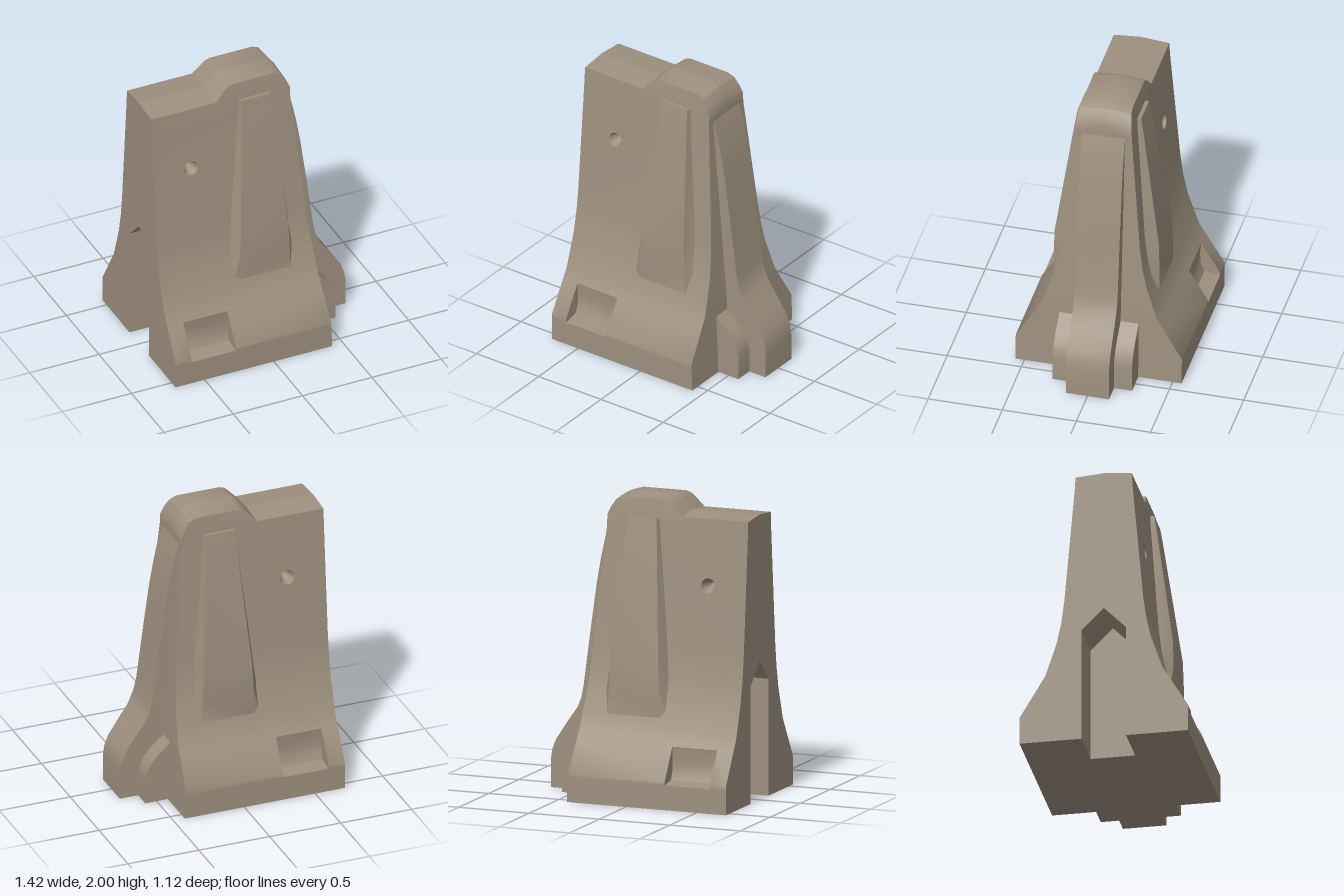
import * as THREE from 'three';
import { mergeGeometries, toCreasedNormals } from 'three/addons/utils/BufferGeometryUtils.js';

const concrete = new THREE.MeshStandardMaterial({ color: 0x9e907f, side: THREE.DoubleSide });
concrete.name = 'concrete';

// Levels of the wall: height, half thickness, x of the right-hand end
const LEVELS = [
  [0, 0.56, 0.42], [0.165, 0.56, 0.413], [0.186, 0.56, 0.412], [0.4, 0.432, 0.403],
  [0.47, 0.39, 0.4], [0.57, 0.356, 0.393], [0.7, 0.313, 0.382], [0.84, 0.283, 0.37],
  [1, 0.262, 0.357], [1.79, 0.193, 0.29], [1.885, 0.187, 0.29], [1.985, 0.17, 0.29],
];
const END = -0.71;
const RISE = 0.016;
const POCKET = [-0.595, -0.275];
const HOLE = { x: -0.44, y: 1.445, r: 0.05 };
// Upper outline of the wall, from the right-hand end to the left
const CREST = [
  [0.29, 1.79], [0.29, 1.86], [0.265, 1.915], [0.232, 1.963], [0.185, 1.985],
  [-0.12, 1.985], [-0.155, 1.972], [-0.18, 1.95], [-0.24, 1.885], [END, 1.885],
];

// Half thickness of the wall at height y
function half(y) {
  for (let i = 1; i < LEVELS.length; i++) {
    const [y0, z0] = LEVELS[i - 1], [y1, z1] = LEVELS[i];
    if (y <= y1) return z0 + (z1 - z0) * (y - y0) / (y1 - y0);
  }
  return LEVELS[LEVELS.length - 1][1];
}

// Flat polygon with optional hole, mapped into space
function poly(points, map, hole) {
  const shape = new THREE.Shape(points.map(p => new THREE.Vector2(...p)));
  if (hole) shape.holes.push(new THREE.Path(hole.map(p => new THREE.Vector2(...p))));
  const geo = new THREE.ShapeGeometry(shape).toNonIndexed();
  const pos = geo.attributes.position;
  for (let i = 0; i < pos.count; i++) pos.setXYZ(i, ...map(pos.getX(i), pos.getY(i)));
  return strip(geo);
}

// Keep positions only
function strip(geo) {
  const out = new THREE.BufferGeometry();
  out.setAttribute('position', geo.attributes.position);
  return out;
}

function quad(a, b, c, d) {
  const geo = new THREE.BufferGeometry();
  geo.setAttribute('position', new THREE.Float32BufferAttribute([a, b, c, a, c, d].flat(), 3));
  return geo;
}

// Mirror across z = 0, turning the faces back outwards
function mirrored(geo) {
  const out = geo.clone(), p = geo.attributes.position, q = out.attributes.position;
  for (let i = 0; i < p.count; i += 3)
    [0, 2, 1].forEach((k, j) => q.setXYZ(i + j, p.getX(i + k), p.getY(i + k), -p.getZ(i + k)));
  return out;
}

function addBoth(group, name, parts, crease = 0.6) {
  const geo = mergeGeometries(parts);
  [['Front', geo], ['Back', mirrored(geo)]].forEach(([side, g]) => {
    const mesh = new THREE.Mesh(toCreasedNormals(g, crease), concrete);
    mesh.name = name + side;
    group.add(mesh);
  });
}

export function createModel() {
  const group = new THREE.Group();
  group.name = 'concreteBarrier';
  const onWall = (x, y) => [x, y, half(y)];

  // Sloping faces, with a gap for the pocket and a round hole
  const ring = Array.from({ length: 25 }, (_, i) => {
    const a = i / 24 * Math.PI * 2;
    return [HOLE.x + HOLE.r * Math.cos(a), HOLE.y + HOLE.r * Math.sin(a)];
  });
  const faces = [], ends = [];
  for (let i = 0; LEVELS[i][0] < 1.79; i++) {
    const [y0, z0, x0] = LEVELS[i], [y1, z1, x1] = LEVELS[i + 1];
    const band = (l, r0, r1, hole) =>
      faces.push(poly([[l, y0], [r0, y0], [r1, y1], [l, y1]], onWall, hole));
    if (y0 >= 0.165 && y1 <= 0.4) {
      band(END, POCKET[0], POCKET[0]);
      band(POCKET[1], x0, x1);
    } else band(END, x0, x1, y0 < HOLE.y && y1 > HOLE.y ? ring.slice(0, 24) : null);
    ends.push(quad([x0, y0, z0], [x0, y0, 0], [x1, y1, 0], [x1, y1, z1]));
  }
  faces.push(poly([[END, 1.79], ...CREST.slice(0, -1), [END, 1.885]], onWall));
  addBoth(group, 'wallFace', faces);
  addBoth(group, 'rightEnd', ends);

  // Low gabled top
  const roof = [];
  for (let i = 1; i < CREST.length; i++) {
    const [xa, ya] = CREST[i - 1], [xb, yb] = CREST[i];
    const lift = i === 1 ? 0 : RISE;
    roof.push(quad([xa, ya, half(ya)], [xa, ya + lift, 0], [xb, yb + RISE, 0], [xb, yb, half(yb)]));
  }
  addBoth(group, 'top', roof, 0.5);

  // Left end and underside, cut by the gabled slot
  const IN = -0.39, W = 0.148, EAVE = 0.78, PEAK = 0.93;
  const side = LEVELS.filter(l => l[0] < 1.9).map(l => [l[1], l[0]]);
  addBoth(group, 'leftEnd', [poly(
    [[W, 0], ...side, [0, 1.885 + RISE], [0, PEAK], [W, EAVE]], (z, y) => [END, y, z])]);
  addBoth(group, 'underside', [poly(
    [[END, W], [IN, W], [IN, 0], [0.42, 0], [0.42, 0.56], [END, 0.56]], (x, z) => [x, 0, z])]);
  addBoth(group, 'slot', [
    quad([END, 0, W], [END, EAVE, W], [IN, EAVE, W], [IN, 0, W]),
    quad([END, EAVE, W], [END, PEAK, 0], [IN, PEAK, 0], [IN, EAVE, W]),
    poly([[0, 0], [W, 0], [W, EAVE], [0, PEAK]], (z, y) => [IN, y, z]),
  ], 0.3);

  // Lifting pockets
  const cut = [[0.432, 0.4], [0.424, 0.31], [0.43, 0.235], [0.455, 0.182], [0.56, 0.165]];
  const pocket = [];
  for (let i = 1; i < cut.length; i++) {
    const [za, ya] = cut[i - 1], [zb, yb] = cut[i];
    pocket.push(quad([POCKET[0], ya, za], [POCKET[0], yb, zb], [POCKET[1], yb, zb], [POCKET[1], ya, za]));
  }
  const cheek = [...cut, [0.56, 0.186]];
  pocket.push(poly(cheek, (z, y) => [POCKET[1], y, z]));
  pocket.push(poly(cheek.map(([z, y]) => [-z, y]), (z, y) => [POCKET[0], y, -z]));
  addBoth(group, 'pocket', pocket, 0.5);

  // Conical bolt holes
  const cone = [];
  for (let i = 0; i < 24; i++) {
    const tip = [HOLE.x, HOLE.y, 0.12];
    const inner = ([x, y]) => [HOLE.x + (x - HOLE.x) * 0.3, HOLE.y + (y - HOLE.y) * 0.3, 0.13];
    const a = ring[i], b = ring[i + 1];
    cone.push(quad(onWall(...a), inner(a), inner(b), onWall(...b)));
    cone.push(quad(inner(a), tip, tip, inner(b)));
  }
  addBoth(group, 'boltHole', cone);

  // Tapered ribs: height, front z, outer left/right, inner left/right, root z
  const RIB = [
    [0.56, 0.357, -0.2, 0.265, -0.15, 0.215, 0.34],
    [0.72, 0.357, -0.2, 0.26, -0.15, 0.21, 0.29],
    [0.92, 0.352, -0.186, 0.243, -0.14, 0.2, 0.25],
    [1.77, 0.23, -0.095, 0.15, -0.078, 0.137, 0.18],
    [1.865, 0.214, -0.078, 0.138, -0.07, 0.13, 0.18],
  ];
  const section = ([y, z, xl, xr, il, ir, root]) =>
    [[xl, y, root], [il, y, z], [ir, y, z], [xr, y, root]];
  const rib = [];
  for (let i = 1; i < RIB.length; i++) {
    const a = section(RIB[i - 1]), b = section(RIB[i]);
    for (let k = 0; k < 3; k++) rib.push(quad(a[k], a[k + 1], b[k + 1], b[k]));
  }
  const cap = section(RIB[RIB.length - 1]);
  rib.push(quad(cap[0], cap[1], cap[2], cap[3]));
  addBoth(group, 'rib', rib);

  // Interlocking tongue and its lower shoulders
  function slab(name, points, width) {
    const shape = new THREE.Shape(points.map(p => new THREE.Vector2(...p)));
    const geo = new THREE.ExtrudeGeometry(shape, { depth: width, bevelEnabled: false });
    geo.translate(0, 0, -width / 2);
    const mesh = new THREE.Mesh(toCreasedNormals(geo, 0.6), concrete);
    mesh.name = name;
    group.add(mesh);
  }
  slab('tongue', [
    [0.25, 0], [0.71, 0], [0.71, 0.19], [0.7, 0.255], [0.675, 0.32], [0.6, 0.435], [0.52, 0.55],
    [0.495, 0.61], [0.477, 0.7], [0.435, 1.02], [0.385, 1.38], [0.355, 1.55], [0.325, 1.69],
    [0.29, 1.8], [0.25, 1.8],
  ], 0.29);
  slab('shoulder', [
    [0.3, 0], [0.58, 0], [0.58, 0.17], [0.57, 0.22], [0.545, 0.275], [0.5, 0.33], [0.403, 0.415], [0.3, 0.415],
  ], 0.535);
  return group;
}
